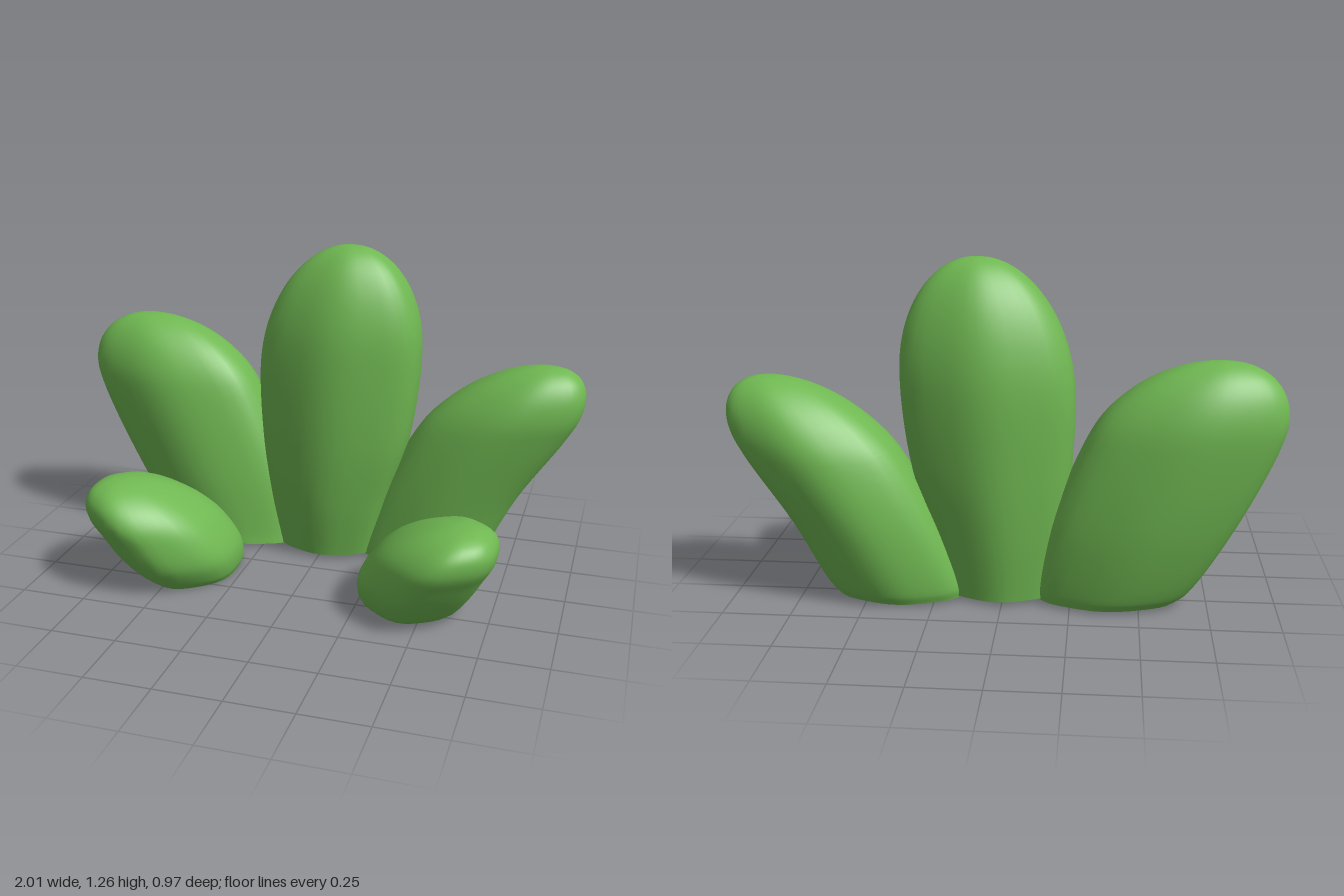
import * as THREE from 'three';

const SIDES = 36;
const STEPS = 50;

// One point on a slice: a skewed ellipse with a faint six-sided swell.
function slicePoint({ y, x, z, rx, rz }, t, skew, ridge) {
  const r = 1 - ridge * Math.cos(6 * t);
  return new THREE.Vector3(
    x + rx * Math.cos(t) * r / (1 - ridge),
    y,
    z + rz * Math.sin(t + skew) * r / (1 + ridge),
  );
}

// Turn slice extents into centres and radii, then add a rounded cap leaning to the tip.
function leafSlices(extents, [tipX, tipY, tipZ]) {
  const slices = extents.map(([y, x0, x1, z0, z1]) => ({
    y, x: (x0 + x1) / 2, z: (z0 + z1) / 2, rx: (x1 - x0) / 2, rz: (z1 - z0) / 2,
  }));
  const shoulder = slices[slices.length - 1];
  for (const degrees of [20, 38, 54, 68, 80, 90]) {
    const a = THREE.MathUtils.degToRad(degrees);
    const rise = Math.sin(a);
    const shrink = Math.cos(a);
    slices.push({
      y: THREE.MathUtils.lerp(shoulder.y, tipY, rise),
      x: THREE.MathUtils.lerp(shoulder.x, tipX, rise),
      z: THREE.MathUtils.lerp(shoulder.z, tipZ, rise),
      rx: shoulder.rx * shrink,
      rz: shoulder.rz * shrink,
    });
  }
  return slices;
}

// Loft smooth columns from base to tip, then close the base with a flat disc.
function leafGeometry(slices, skew, ridge) {
  const columns = [];
  for (let j = 0; j < SIDES; j++) {
    const t = (j / SIDES) * Math.PI * 2;
    const points = slices.map((s) => slicePoint(s, t, skew, ridge));
    columns.push(new THREE.CatmullRomCurve3(points).getPoints(STEPS));
  }
  const positions = [];
  const indices = [];
  for (let i = 0; i < STEPS; i++) {
    for (const column of columns) positions.push(...column[i].toArray());
  }
  const tip = STEPS * SIDES;
  positions.push(...columns[0][STEPS].toArray());

  // Base vertices are separate so the cut stays crisp
  const centre = tip + 1;
  positions.push(slices[0].x, slices[0].y, slices[0].z);
  for (const column of columns) positions.push(...column[0].toArray());

  for (let j = 0; j < SIDES; j++) {
    const k = (j + 1) % SIDES;
    for (let i = 0; i < STEPS - 1; i++) {
      const a = i * SIDES + j;
      const b = i * SIDES + k;
      indices.push(a, a + SIDES, b, b, a + SIDES, b + SIDES);
    }
    indices.push((STEPS - 1) * SIDES + j, tip, (STEPS - 1) * SIDES + k);
    indices.push(centre, centre + 1 + j, centre + 1 + k);
  }
  const geometry = new THREE.BufferGeometry();
  geometry.setAttribute('position', new THREE.Float32BufferAttribute(positions, 3));
  geometry.setIndex(indices);
  geometry.computeVertexNormals();
  return geometry;
}

export function createModel() {
  const group = new THREE.Group();
  group.name = 'succulentPlant';
  const leafGreen = new THREE.MeshStandardMaterial({ color: 0x70b852 });
  leafGreen.name = 'leafGreen';

  // Slices are [y, xMin, xMax, zMin, zMax] from base to shoulder; tip is [x, y, z].
  function addLeaf(name, extents, tip, skew, ridge) {
    const mesh = new THREE.Mesh(leafGeometry(leafSlices(extents, tip), skew, ridge), leafGreen);
    mesh.name = name;
    group.add(mesh);
  }

  // Tall upright leaf
  addLeaf('centreLeaf', [
    [0.015, -0.18, 0.20, -0.36, -0.09],
    [0.25, -0.22, 0.26, -0.40, -0.04],
    [0.50, -0.25, 0.335, -0.43, -0.012],
    [0.80, -0.257, 0.372, -0.446, -0.005],
  ], [0.095, 1.265, -0.22], 0, 0.025);

  // Rear leaves leaning outwards
  addLeaf('rightRearLeaf', [
    [0.01, -0.63, -0.13, -0.40, -0.10],
    [0.05, -0.68, -0.13, -0.42, -0.10],
    [0.30, -0.835, -0.175, -0.47, -0.088],
    [0.62, -0.985, -0.30, -0.483, -0.09],
  ], [-0.77, 0.92, -0.29], 0, 0.02);
  addLeaf('leftRearLeaf', [
    [0.01, 0.15, 0.61, -0.40, -0.10],
    [0.05, 0.15, 0.645, -0.42, -0.095],
    [0.30, 0.24, 0.775, -0.47, -0.08],
    [0.55, 0.37, 0.94, -0.485, -0.078],
  ], [0.855, 0.835, -0.27], 0, 0.02);

  // Short front leaves leaning forwards and outwards
  addLeaf('rightFrontLeaf', [
    [0, -0.63, -0.28, -0.10, 0.33],
    [0.03, -0.66, -0.268, -0.11, 0.365],
    [0.11, -0.705, -0.268, -0.10, 0.428],
    [0.22, -0.758, -0.32, -0.055, 0.47],
  ], [-0.67, 0.424, 0.30], -0.08, 0.02);
  addLeaf('leftFrontLeaf', [
    [0, 0.25, 0.61, -0.10, 0.34],
    [0.03, 0.24, 0.64, -0.11, 0.375],
    [0.11, 0.247, 0.69, -0.10, 0.432],
    [0.20, 0.30, 0.737, -0.06, 0.47],
  ], [0.65, 0.395, 0.305], 0.08, 0.02);

  return group;
}
